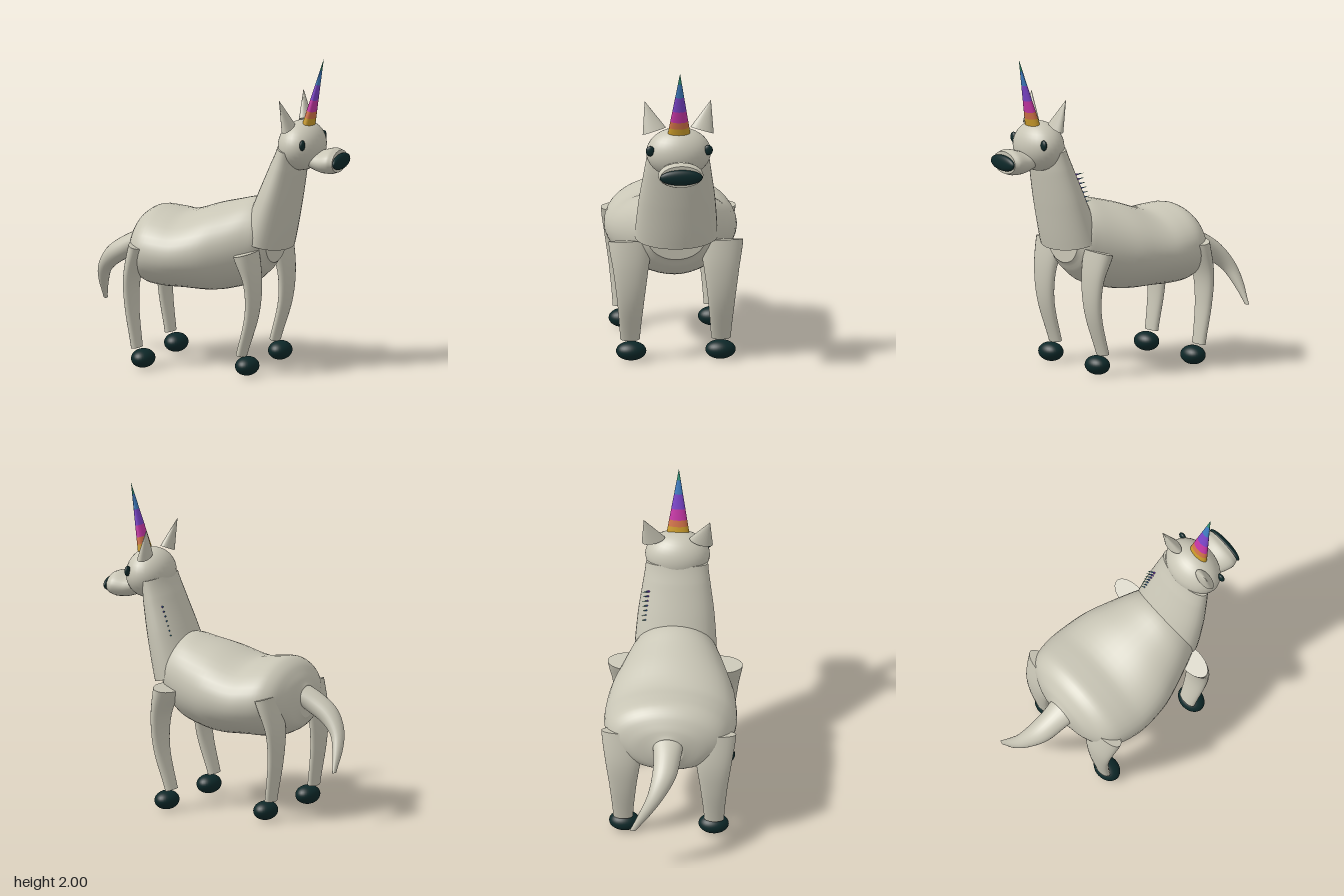
import * as THREE from 'three';

const mat = (name, color) => {
  const m = new THREE.MeshStandardMaterial({ color });
  m.name = name;
  return m;
};

// Smooth tube through [x, y, z, radius in the xy plane, radius along z]; ends capped.
function loft(stations, { rows = 24, sides = 28, alongX = false } = {}) {
  const path = new THREE.CatmullRomCurve3(stations.map(s => new THREE.Vector3(s[0], s[1], s[2])));
  const radii = new THREE.SplineCurve(stations.map(s => new THREE.Vector2(s[3], s[4])));
  const zAxis = new THREE.Vector3(0, 0, 1);
  const pos = [], index = [];
  for (let r = 0; r <= rows; r++) {
    const c = path.getPoint(r / rows), rad = radii.getPoint(r / rows);
    const t = alongX ? new THREE.Vector3(1, 0, 0) : path.getTangent(r / rows);
    t.z = 0;
    const a = zAxis.clone().cross(t.normalize());
    for (let i = 0; i < sides; i++) {
      const th = (i / sides) * Math.PI * 2, u = Math.cos(th) * rad.x;
      pos.push(c.x + a.x * u, c.y + a.y * u, c.z + Math.sin(th) * rad.y);
    }
  }
  for (let r = 0; r < rows; r++) {
    for (let i = 0; i < sides; i++) {
      const j = (i + 1) % sides, p = r * sides, q = p + sides;
      index.push(p + i, p + j, q + i, p + j, q + j, q + i);
    }
  }
  // Flat caps with their own vertices keep the rims crisp
  for (const end of [0, 1]) {
    const ring = end * rows * sides, base = pos.length / 3;
    pos.push(...path.getPoint(end).toArray());
    for (let i = 0; i < sides * 3; i++) pos.push(pos[ring * 3 + i]);
    for (let i = 0; i < sides; i++) {
      const p = base + 1 + i, q = base + 1 + ((i + 1) % sides);
      if (end) index.push(base, p, q);
      else index.push(base, q, p);
    }
  }
  const g = new THREE.BufferGeometry();
  g.setAttribute('position', new THREE.Float32BufferAttribute(pos, 3));
  g.setIndex(index);
  g.computeVertexNormals();
  return g;
}

export function createModel() {
  const model = new THREE.Group();
  model.name = 'unicorn';
  const coat = mat('coat', 0xc9c6b6);
  const dark = mat('dark', 0x0d2829);
  const gold = mat('gold', 0xc99a2a);
  const orange = mat('orange', 0xcf7148);
  const magenta = mat('magenta', 0xc436a4);
  const purple = mat('purple', 0x7a44c8);
  const blue = mat('blue', 0x3f7cc0);
  const teal = mat('teal', 0x2f9277);

  const add = (name, geo, material, parent = model) => {
    const m = new THREE.Mesh(geo, material);
    m.name = name;
    parent.add(m);
    return m;
  };
  const ellipsoid = (name, material, p, r) => {
    const m = add(name, new THREE.SphereGeometry(1, 32, 20), material);
    m.position.set(...p);
    m.scale.set(...r);
    return m;
  };
  // Cone from base to tip, split into colour bands [end fraction, material]
  const bandedCone = (name, base, tip, rx, rz, bands, sides = 28) => {
    const b = new THREE.Vector3(...base), d = new THREE.Vector3(...tip).sub(b);
    const g = new THREE.Group();
    g.name = name;
    g.position.copy(b);
    g.scale.set(rx, d.length(), rz);
    g.quaternion.setFromUnitVectors(new THREE.Vector3(0, 1, 0), d.normalize());
    let from = 0;
    for (const [to, material] of bands) {
      const geo = new THREE.CylinderGeometry(1 - to, 1 - from, to - from, sides, 1, true);
      add(name + 'Band', geo.translate(0, (from + to) / 2, 0), material, g);
      from = to;
    }
    add(name + 'Base', new THREE.CircleGeometry(1, sides).rotateX(Math.PI / 2), bands[0][1], g);
    model.add(g);
  };

  // Body: x, top, bottom, half width
  const body = [
    [-0.545, 0.83, 0.62, 0.1], [-0.52, 0.88, 0.57, 0.22], [-0.47, 0.95, 0.53, 0.33],
    [-0.4, 0.99, 0.5, 0.385], [-0.3, 0.985, 0.49, 0.41], [-0.18, 0.975, 0.49, 0.415],
    [0, 1.03, 0.485, 0.39], [0.14, 1.065, 0.51, 0.34], [0.26, 1.09, 0.55, 0.29],
    [0.34, 1.06, 0.62, 0.25], [0.385, 0.95, 0.68, 0.18],
  ].map(([x, t, b, w]) => [x, (t + b) / 2, 0, (t - b) / 2, w]);
  add('body', loft(body, { rows: 40, sides: 40, alongX: true }), coat);

  // Neck, head and muzzle
  add('neck', loft([
    [0.33, 0.82, 0, 0.155, 0.26], [0.41, 1.09, 0, 0.128, 0.24],
    [0.47, 1.3, 0, 0.1, 0.21], [0.5, 1.42, 0, 0.08, 0.195],
  ], { sides: 36 }), coat);
  ellipsoid('head', coat, [0.56, 1.44, 0], [0.145, 0.158, 0.203]);
  add('muzzle', loft([
    [0.6, 1.36, 0, 0.05, 0.09], [0.7, 1.347, 0, 0.07, 0.125],
    [0.77, 1.353, 0, 0.081, 0.142], [0.81, 1.353, 0, 0.07, 0.13],
  ], { alongX: true }), coat);
  ellipsoid('nose', dark, [0.822, 1.353, 0], [0.029, 0.05, 0.135]);

  // Horn
  bandedCone('horn', [0.605, 1.58, 0], [0.705, 2, 0], 0.035, 0.07, [
    [0.1, gold], [0.2, orange], [0.37, magenta], [0.6, purple], [0.82, blue], [1, teal],
  ]);

  // Tail
  add('tail', loft([
    [-0.48, 0.785, 0, 0.06, 0.1], [-0.6, 0.72, 0, 0.068, 0.085], [-0.71, 0.65, -0.015, 0.062, 0.075],
    [-0.79, 0.56, -0.06, 0.045, 0.055], [-0.825, 0.46, -0.12, 0.032, 0.04], [-0.843, 0.33, -0.2, 0.011, 0.02],
  ]), coat);

  // Mirrored parts
  for (const s of [1, -1]) {
    bandedCone('ear', [0.525, 1.57, 0.15 * s], [0.485, 1.755, 0.208 * s], 0.037, 0.076, [[1, coat]]);
    ellipsoid('eye', dark, [0.632, 1.472, 0.182 * s], [0.016, 0.033, 0.028]);

    const z = 0.285 * s;
    add('frontLeg', loft([
      [0.295, 0.78, z, 0.07, 0.138], [0.338, 0.6, z, 0.048, 0.11],
      [0.335, 0.4, z, 0.038, 0.085], [0.264, 0.13, z, 0.03, 0.062],
    ]), coat);
    add('backLeg', loft([
      [-0.418, 0.785, z, 0.06, 0.138], [-0.472, 0.58, z, 0.044, 0.11],
      [-0.474, 0.4, z, 0.037, 0.085], [-0.44, 0.13, z, 0.031, 0.062],
    ]), coat);
    for (const x of [0.3, -0.4]) ellipsoid('hoof', dark, [x, 0.063, 0.28 * s], [0.073, 0.06, 0.095]);
  }

  // Tuft of small mane spikes on one side of the neck
  for (let i = 0; i < 7; i++) {
    const x = 0.345 + i * 0.009, y = 1.08 + i * 0.03;
    bandedCone('maneSpike', [x, y, -0.16], [x - 0.042, y + 0.02, -0.212], 0.008, 0.008,
      [[0.4, purple], [0.65, blue], [1, teal]], 8);
  }
  return model;
}
